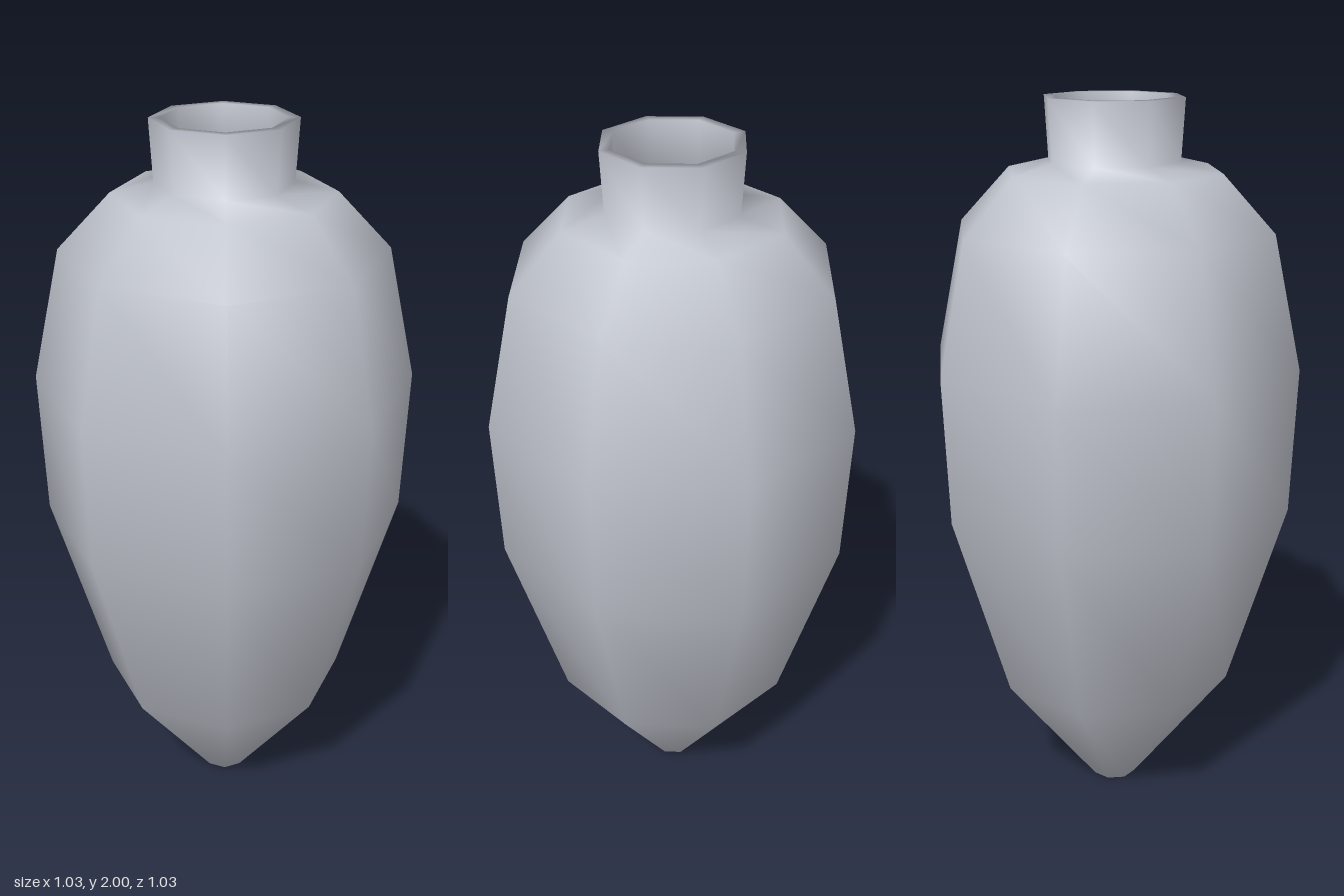
import * as THREE from 'three';

export function createModel() {
  const group = new THREE.Group();
  group.name = 'amphora';
  const clay = new THREE.MeshStandardMaterial({ color: 0xbfc3cc });
  clay.name = 'pale grey clay';

  // Turned eight-sided shell: up the outside, over the rim, down the inside
  const addTurned = (name, profile) => {
    const points = profile.map(([r, y]) => new THREE.Vector2(r, y));
    const mesh = new THREE.Mesh(new THREE.LatheGeometry(points, 8), clay);
    mesh.name = name;
    group.add(mesh);
  };

  addTurned('jar', [
    // foot and body
    [0, 0], [0.065, 0], [0.34, 0.36], [0.5, 0.9], [0.515, 1.3], [0.437, 1.66],
    // shoulder and neck
    [0.295, 1.81], [0.182, 1.837], [0.192, 2],
    // rim and hollow inside
    [0.163, 2], [0.155, 1.81], [0.28, 1.78], [0.41, 1.64], [0.485, 1.3],
    [0.47, 0.91], [0.315, 0.38], [0.03, 0.04], [0, 0.04],
  ]);

  return group;
}
